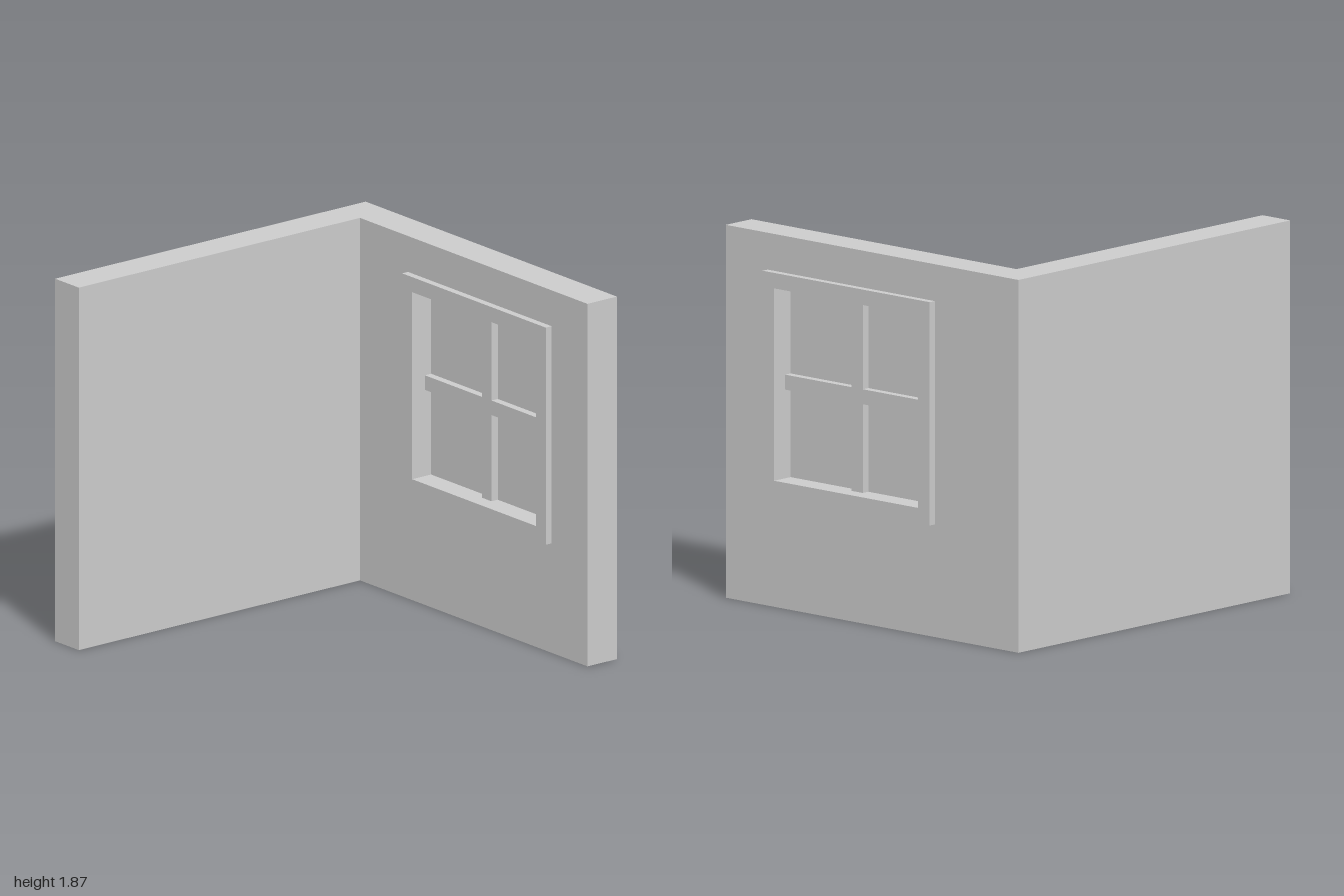
import * as THREE from 'three';

const material = new THREE.MeshStandardMaterial({ color: 0xcccccc, flatShading: true });

// Window centre, and the middle plane of the back wall
const CX = 0.14, CY = 1.125, CZ = -0.87;
const OUTER = 0.56, INNER = 0.4825, BAR = 0.0375;

function addMesh(group, name, geometry, x = 0, y = 0, z = 0) {
  const mesh = new THREE.Mesh(geometry, material);
  mesh.name = name;
  mesh.position.set(x, y, z);
  group.add(mesh);
}

// Closed rectangle outline
function rect(Type, x0, y0, x1, y1) {
  return new Type([[x0, y0], [x1, y0], [x1, y1], [x0, y1]].map(([x, y]) => new THREE.Vector2(x, y)));
}

// Extrusion centred on z = 0
function slab(shape, depth) {
  return new THREE.ExtrudeGeometry(shape, { depth, bevelEnabled: false }).translate(0, 0, -depth / 2);
}

export function createModel() {
  const model = new THREE.Group();
  model.name = 'cornerWallWithWindow';

  // Back wall with the window opening
  const wall = rect(THREE.Shape, -0.98, 0, 0.98, 1.87);
  wall.holes.push(rect(THREE.Path, CX - OUTER, CY - OUTER, CX + OUTER, CY + OUTER));
  addMesh(model, 'backWall', slab(wall, 0.186), 0, 0, CZ);

  // Side wall meeting the back wall at the corner
  addMesh(model, 'sideWall', new THREE.BoxGeometry(0.185, 1.87, 1.777), -0.8875, 0.935, 0.1115);

  const windowGroup = new THREE.Group();
  windowGroup.name = 'window';
  windowGroup.position.set(CX, CY, CZ);
  model.add(windowGroup);

  // Frame standing proud of both wall faces
  const frame = rect(THREE.Shape, -OUTER, -OUTER, OUTER, OUTER);
  frame.holes.push(rect(THREE.Path, -INNER, -INNER, INNER, INNER));
  addMesh(windowGroup, 'windowFrame', slab(frame, 0.26));

  // Cross of glazing bars, one arm per quarter turn
  const corners = [];
  for (let i = 0; i < 4; i++) {
    for (const [x, y] of [[INNER, -BAR], [INNER, BAR], [BAR, BAR]]) {
      corners.push(new THREE.Vector2(x, y).rotateAround(new THREE.Vector2(), i * Math.PI / 2));
    }
  }
  addMesh(windowGroup, 'glazingBars', slab(new THREE.Shape(corners), 0.1));

  // Thin pane behind the bars
  addMesh(windowGroup, 'windowPane', new THREE.BoxGeometry(INNER * 2, INNER * 2, 0.02));

  return model;
}
